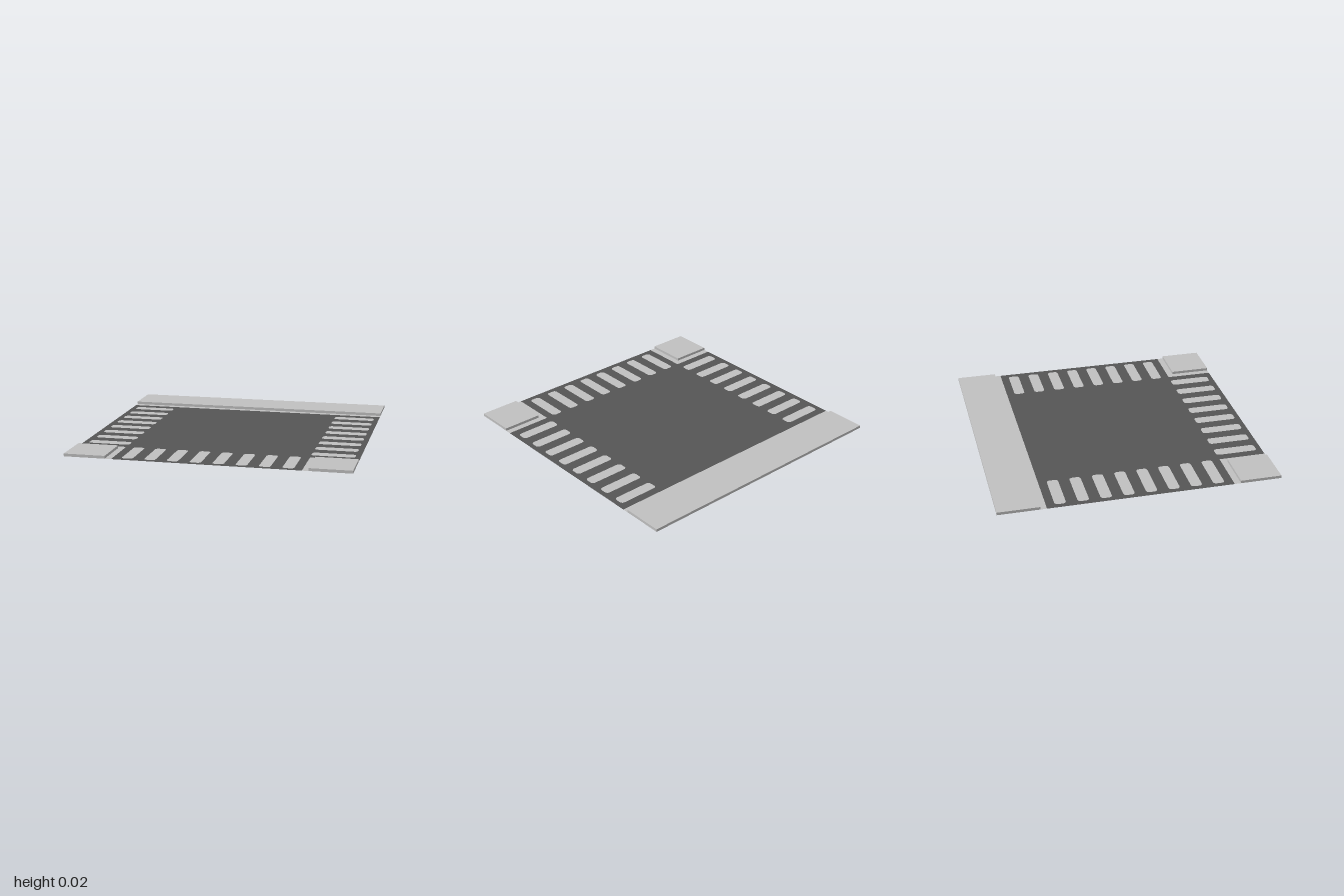
import * as THREE from 'three';

const W = 0.66;    // inner border of the contact ring
const B = 0.705;   // inner edge of the raised blocks
const H = 0.02;    // block height

const silver = new THREE.MeshStandardMaterial({ color: 0xc0c0c0 });
silver.name = 'silver';
const silverSheet = new THREE.MeshStandardMaterial({ color: 0xc0c0c0, side: THREE.DoubleSide });
silverSheet.name = 'silver sheet';
const charcoal = new THREE.MeshStandardMaterial({ color: 0x555555, side: THREE.DoubleSide });
charcoal.name = 'charcoal sheet';

// Points are [x, z] on the ground plane
const toPoints = (list) => list.map(([x, z]) => new THREE.Vector2(x, -z));

// Outline of a pad: a rectangle with small rounded corners
function padOutline(cx, cz, w, d, r = 0.022) {
  const pts = [];
  [[1, 1], [-1, 1], [-1, -1], [1, -1]].forEach(([sx, sz], q) => {
    for (let i = 0; i <= 3; i++) {
      const a = (q + i / 3) * Math.PI / 2;
      pts.push([cx + sx * (w / 2 - r) + r * Math.cos(a), cz + sz * (d / 2 - r) + r * Math.sin(a)]);
    }
  });
  return toPoints(pts);
}

export function createModel() {
  const model = new THREE.Group();
  model.name = 'contactPlate';

  const add = (geometry, material, name) => {
    const mesh = new THREE.Mesh(geometry, material);
    mesh.name = name;
    model.add(mesh);
    return mesh;
  };
  const sheet = (shape, material, name) =>
    add(new THREE.ShapeGeometry(shape).rotateX(-Math.PI / 2), material, name);
  const block = (x0, x1, z0, z1, name) =>
    add(new THREE.BoxGeometry(x1 - x0, H, z1 - z0), silver, name)
      .position.set((x0 + x1) / 2, H / 2, (z0 + z1) / 2);

  // Dark base sheet, notched at the front corners
  const base = new THREE.Shape(toPoints([
    [-1, -W], [1, -W], [1, W], [W, W], [W, 1], [-W, 1], [-W, W], [-1, W],
  ]));

  // Eight contact pads along the left, right and front edges
  for (let i = 0; i < 8; i++) {
    const t = -0.56 + i * 0.16;
    const pads = [
      [padOutline(0.81, t, 0.305, 0.08), 'leftPad'],
      [padOutline(-0.81, t, 0.305, 0.08), 'rightPad'],
      [padOutline(t, 0.81, 0.08, 0.305), 'frontPad'],
    ];
    for (const [outline, name] of pads) {
      base.holes.push(new THREE.Path(outline));
      sheet(new THREE.Shape(outline), silverSheet, name + (i + 1));
    }
  }
  sheet(base, charcoal, 'baseSheet');

  // Back bar and its narrow flat margin
  block(-1, 1, -1, -B, 'backBar');
  sheet(new THREE.Shape(toPoints([[-1, -B], [1, -B], [1, -W], [-1, -W]])), silverSheet, 'backMargin');

  // Front corner blocks with L-shaped flat margins
  for (const s of [1, -1]) {
    const side = s > 0 ? 'left' : 'right';
    block(Math.min(s, s * B), Math.max(s, s * B), B, 1, side + 'CornerBlock');
    sheet(new THREE.Shape(toPoints([
      [s * W, W], [s, W], [s, B], [s * B, B], [s * B, 1], [s * W, 1],
    ])), silverSheet, side + 'CornerMargin');
  }
  return model;
}
